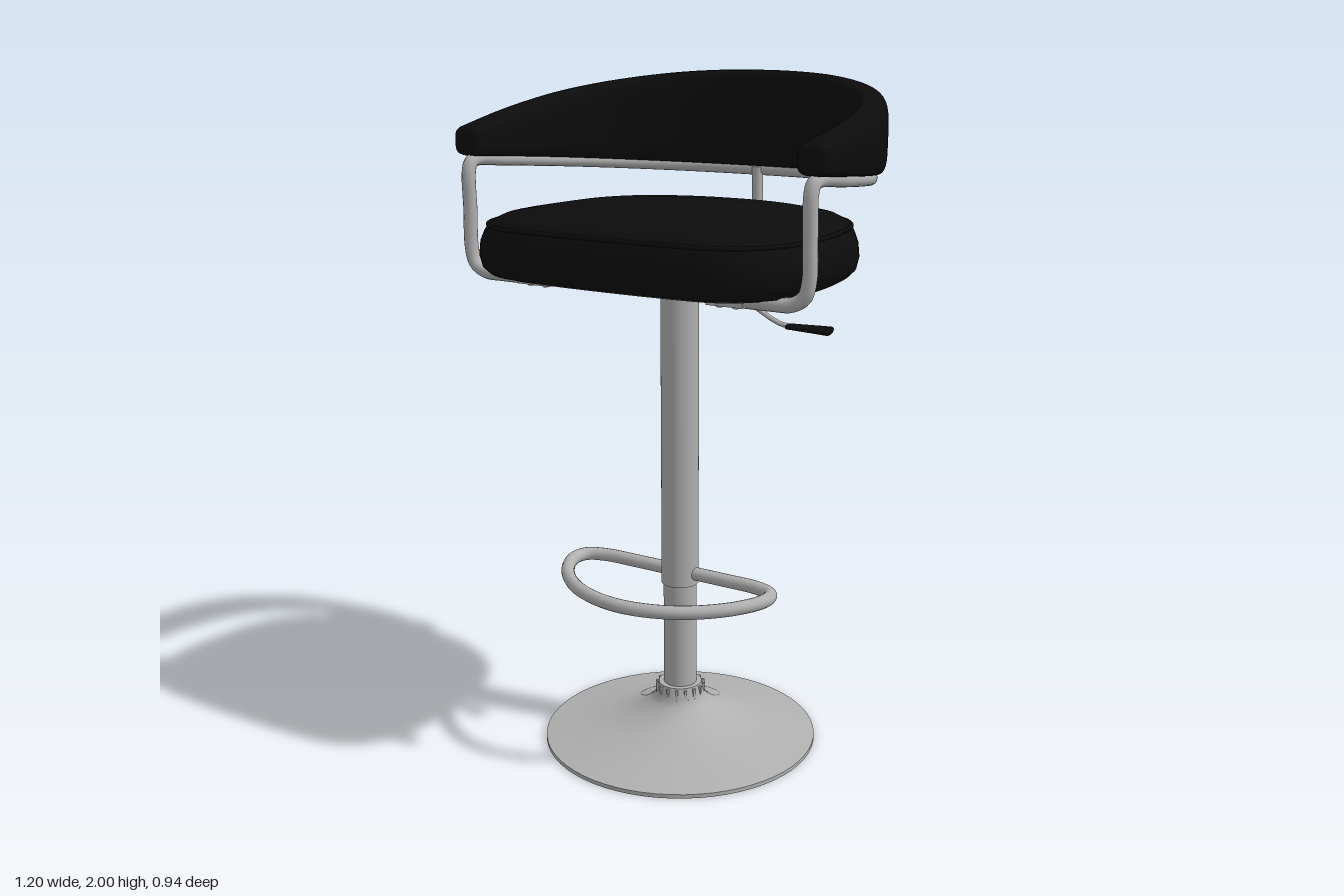
import * as THREE from 'three';

const metal = new THREE.MeshStandardMaterial({ color: 0xb0b0b0 });
const upholstery = new THREE.MeshStandardMaterial({ color: 0x0c0c0c });
const underside = new THREE.MeshStandardMaterial({ color: 0x48433e });
metal.name = 'brushedMetal';
upholstery.name = 'blackUpholstery';
underside.name = 'seatUnderside';

const COLUMN_Z = 0.04;
const V = (x, y, z) => new THREE.Vector3(x, y, z);

function add(parent, name, geometry, material, x = 0, y = 0, z = 0) {
  const mesh = new THREE.Mesh(geometry, material);
  mesh.name = name;
  mesh.position.set(x, y, z);
  parent.add(mesh);
  return mesh;
}

const cylinder = (rTop, rBottom, h, n = 40) => new THREE.CylinderGeometry(rTop, rBottom, h, n);

// Tube with flat end caps when open
function addTube(parent, name, points, r, material, segments, closed = false) {
  const curve = new THREE.CatmullRomCurve3(points, closed);
  const mesh = add(parent, name, new THREE.TubeGeometry(curve, segments, r, 14, closed), material);
  if (!closed) for (const t of [0, 1]) {
    const cap = add(mesh, name + 'Cap', new THREE.CircleGeometry(r, 14), material);
    const p = curve.getPoint(t);
    cap.position.copy(p);
    cap.lookAt(p.clone().addScaledVector(curve.getTangent(t), t ? 1 : -1));
  }
  return mesh;
}

// Smooth skin over a list of equal-length closed rings
function loft(rings) {
  const n = rings[0].length, index = [];
  for (let i = 0; i < rings.length - 1; i++) {
    for (let j = 0; j < n; j++) {
      const a = i * n + j, b = i * n + (j + 1) % n;
      index.push(a, b, a + n, b, b + n, a + n);
    }
  }
  const g = new THREE.BufferGeometry().setFromPoints(rings.flat());
  g.setIndex(index);
  g.computeVertexNormals();
  return g;
}

// Mirror a half path of [x, z] pairs whose first and last points lie on x = 0
const mirrorLoop = (half, y) => [
  ...half.map(([x, z]) => V(x, y, z)),
  ...half.slice(1, -1).reverse().map(([x, z]) => V(-x, y, z)),
];

// Backrest centreline, from arm tip to the middle of the back
const backHalf = [[0.548, 0.31], [0.555, 0.12], [0.545, 0], [0.505, -0.14],
  [0.41, -0.275], [0.27, -0.372], [0.14, -0.415], [0, -0.427]];
const backTop = z => 1.85 + (0.31 - z) * 0.202;
const backBottom = z => 1.772 - (0.31 - z) * 0.083;

function buildBase(group) {
  const base = new THREE.Group();
  base.name = 'base';
  base.position.z = COLUMN_Z;
  group.add(base);
  add(base, 'baseRim', cylinder(0.415, 0.415, 0.012, 64), metal, 0, 0.006);
  const flare = new THREE.SplineCurve([[0.415, 0.012], [0.31, 0.033], [0.21, 0.058],
    [0.135, 0.088], [0.09, 0.118], [0.076, 0.14]].map(p => new THREE.Vector2(...p)));
  add(base, 'baseFlare', new THREE.LatheGeometry(flare.getPoints(24), 64), metal);
  add(base, 'collar', cylinder(0.066, 0.076, 0.035), metal, 0, 0.1575);
  // Ribs around the collar
  for (let i = 0; i < 16; i++) {
    const a = i / 16 * Math.PI * 2;
    const rib = add(base, 'collarRib', new THREE.BoxGeometry(0.008, 0.025, 0.012), metal,
      Math.sin(a) * 0.07, 0.158, Math.cos(a) * 0.07);
    rib.rotation.y = a;
  }
  add(base, 'lowerColumn', cylinder(0.05, 0.05, 0.34), metal, 0, 0.345);
  add(base, 'upperColumn', cylinder(0.056, 0.056, 0.92), metal, 0, 0.96);
  // Shallow bowl joining the column to the seat
  const bowl = [[0.056, 1.405], [0.075, 1.408], [0.1, 1.42], [0.125, 1.437], [0.132, 1.45]];
  add(base, 'mountBowl', new THREE.LatheGeometry(bowl.map(p => new THREE.Vector2(...p)), 40), metal);
  for (let i = 0; i < 8; i++) {
    const a = (i + 0.5) / 8 * Math.PI * 2;
    add(base, 'mountScrew', cylinder(0.008, 0.008, 0.008, 10), metal,
      Math.sin(a) * 0.16, 1.441, Math.cos(a) * 0.16);
  }
}

function buildFootrest(group) {
  const half = [[0, 0.04], [0.15, 0.04], [0.27, 0.044], [0.325, 0.068], [0.336, 0.12],
    [0.28, 0.23], [0.16, 0.33], [0, 0.37]];
  addTube(group, 'footrest', mirrorLoop(half, 0.535), 0.02, metal, 120, true);
}

function buildSeat(group) {
  const half = [[0, 0.465], [0.2, 0.46], [0.36, 0.442], [0.455, 0.38], [0.505, 0.28],
    [0.52, 0.16], [0.51, 0], [0.475, -0.15], [0.38, -0.28], [0.2, -0.365], [0, -0.388]];
  const outline = new THREE.CatmullRomCurve3(mirrorLoop(half, 0), true).getPoints(96).slice(0, 96);
  const ring = (s, y) => outline.map(p => V(p.x * s, y, COLUMN_Z + (p.z - COLUMN_Z) * s));
  // Cushion profile as [scale, height]
  const profile = [[0, 1.452], [0.86, 1.45], [0.95, 1.454], [0.985, 1.472], [1, 1.505], [0.992, 1.545],
    [0.97, 1.575], [0.94, 1.598], [0.88, 1.614], [0.75, 1.626], [0.5, 1.635], [0.25, 1.639], [0, 1.64]];
  add(group, 'seatCushion', loft(profile.map(([s, y]) => ring(s, y))), upholstery);
  addTube(group, 'seatPiping', ring(0.952, 1.591), 0.006, upholstery, 120, true);
  // Thin board closing the underside
  const board = new THREE.Shape(ring(0.88, 0).map(p => new THREE.Vector2(p.x, p.z)));
  const plate = new THREE.ExtrudeGeometry(board, { depth: 0.007, bevelEnabled: false });
  plate.rotateX(Math.PI / 2);
  add(group, 'seatBoard', plate, underside, 0, 1.452);
}

function buildBackrest(group) {
  const path = new THREE.CatmullRomCurve3([
    ...backHalf.map(([x, z]) => V(x, 0, z)),
    ...backHalf.slice(0, -1).reverse().map(([x, z]) => V(-x, 0, z)),
  ]);
  // Rounded cross-section at t, shrunk by s near the arm tips
  const section = (t, s) => {
    const p = path.getPointAt(t), d = path.getTangentAt(t);
    const out = V(-d.z, 0, d.x).multiplyScalar(-1);
    if (out.x * p.x + out.z * (p.z - 0.3) < 0) out.negate();
    const mid = (backTop(p.z) + backBottom(p.z)) / 2, h = (backTop(p.z) - backBottom(p.z)) / 2;
    const soft = v => Math.sign(v) * Math.sqrt(Math.abs(v));
    return Array.from({ length: 32 }, (_, j) => {
      const a = j / 32 * Math.PI * 2;
      const u = soft(Math.cos(a)) * 0.045 * s, v = -soft(Math.sin(a)) * h * s;
      return V(p.x + out.x * u, mid + v, p.z + out.z * u);
    });
  };
  const rings = [[0, 0], [0, 0.8], [0.004, 0.93], [0.01, 1]];
  const stops = [...rings];
  for (let i = 1; i < 64; i++) stops.push([0.01 + 0.98 * i / 64, 1]);
  stops.push(...rings.reverse().map(([t, s]) => [1 - t, s]));
  add(group, 'backrest', loft(stops.map(([t, s]) => section(t, s))), upholstery);
}

function buildFrame(group) {
  // One bent tube: under the seat, up each post and around below the backrest
  const post = [V(0.35, 1.44, 0.3), V(0.44, 1.44, 0.3), V(0.5, 1.443, 0.3), V(0.535, 1.465, 0.3),
    V(0.548, 1.51, 0.3), V(0.548, 1.62, 0.3), V(0.548, 1.73, 0.3), V(0.549, 1.755, 0.285)];
  const rail = backHalf.slice(1).map(([x, z]) => V(x, backBottom(z) - 0.008, z));
  const half = [...post, ...rail];
  const mirrored = half.slice(0, -1).reverse().map(p => V(-p.x, p.y, p.z));
  addTube(group, 'armFrame', [...half, ...mirrored], 0.02, metal, 220);
  addTube(group, 'rearPost', [V(0, 1.71, -0.415), V(0, 1.6, -0.415), V(0, 1.51, -0.413),
    V(0, 1.465, -0.395), V(0, 1.448, -0.35), V(0, 1.445, -0.24)], 0.017, metal, 40);
  // Flattened tube ends screwed to the seat board
  for (const side of [-1, 1]) {
    add(group, 'armFoot', new THREE.BoxGeometry(0.11, 0.022, 0.044), metal, side * 0.31, 1.434, 0.3);
    for (const x of [0.285, 0.335]) {
      add(group, 'footScrew', cylinder(0.009, 0.009, 0.008, 12), metal, side * x, 1.421, 0.3);
    }
  }
  add(group, 'rearFoot', new THREE.BoxGeometry(0.04, 0.02, 0.06), metal, 0, 1.438, -0.22);
}

function buildLever(group) {
  addTube(group, 'heightLever', [V(0.08, 1.44, 0.06), V(0.14, 1.432, 0.06), V(0.24, 1.385, 0.06),
    V(0.34, 1.336, 0.06), V(0.4, 1.331, 0.06)], 0.007, metal, 32);
  // Flat grip, slightly wider toward its end
  const grip = add(group, 'leverGrip', cylinder(0.012, 0.008, 0.125, 20), upholstery, 0.427, 1.331, 0.06);
  grip.rotation.z = -Math.PI / 2;
  grip.scale.z = 2.4;
}

export function createModel() {
  const group = new THREE.Group();
  group.name = 'barStool';
  buildBase(group);
  buildFootrest(group);
  buildSeat(group);
  buildBackrest(group);
  buildFrame(group);
  buildLever(group);
  return group;
}
